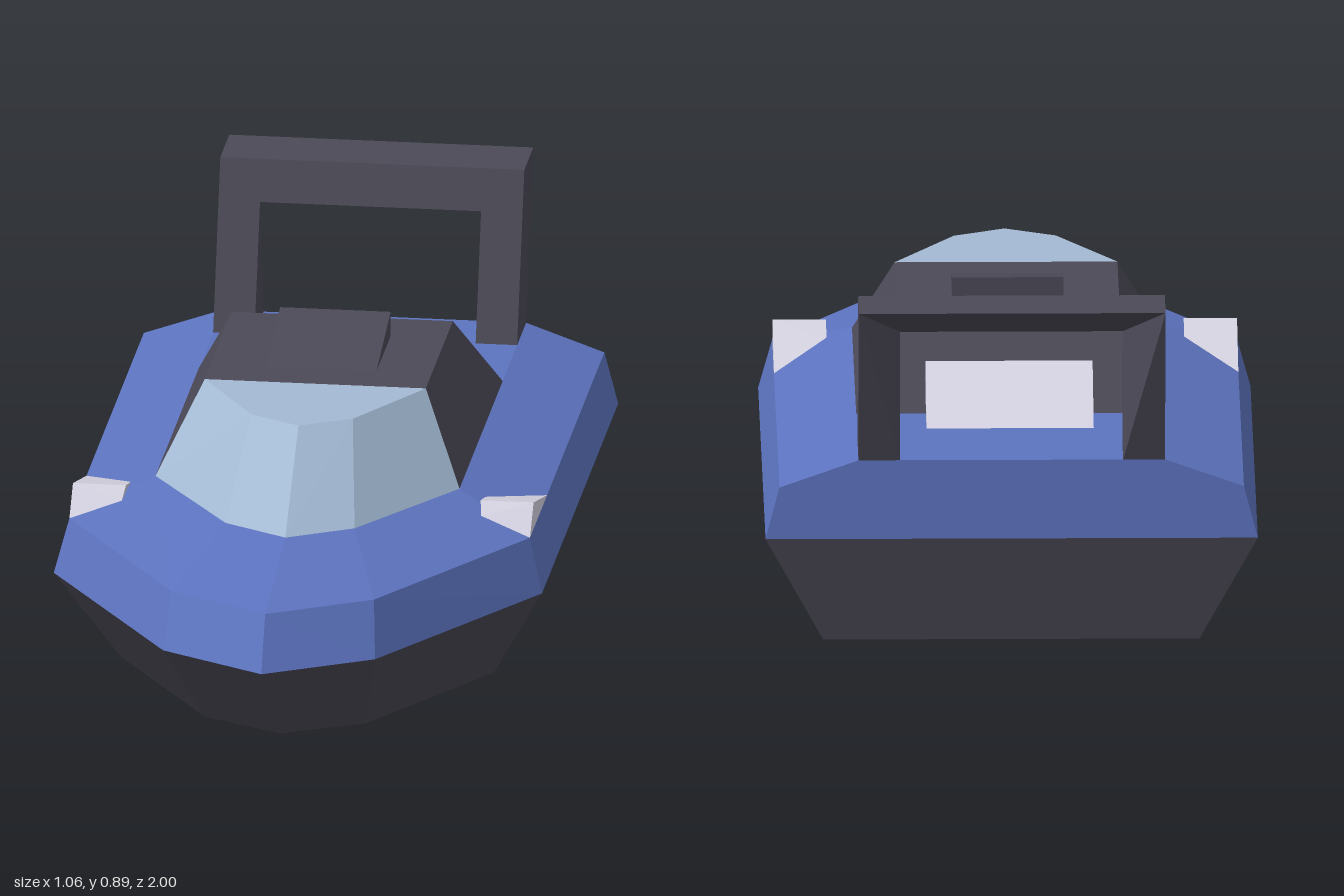
import * as THREE from 'three';
import { ConvexGeometry } from 'three/addons/geometries/ConvexGeometry.js';

const mat = (name, color) => {
  const m = new THREE.MeshStandardMaterial({ color });
  m.name = name;
  return m;
};

// Full plan outline at height y from [x, z] points of the left half, stern to bow
function outline(y, half) {
  const left = half.map(([x, z]) => [x, y, z]);
  const right = half.slice(0, -1).reverse().map(([x, z]) => [-x, y, z]);
  return [...left, ...right];
}

// Flat-faced skin over stacked outlines, optionally capped
function loft(rings, capBottom, capTop) {
  const pos = [];
  const face = (pts) => {
    for (let i = 1; i < pts.length - 1; i++) pos.push(...pts[0], ...pts[i], ...pts[i + 1]);
  };
  for (let r = 0; r < rings.length - 1; r++) {
    const lo = rings[r], hi = rings[r + 1], n = lo.length;
    for (let i = 0; i < n; i++) {
      const j = (i + 1) % n;
      face([lo[i], hi[i], hi[j], lo[j]]);
    }
  }
  if (capBottom) face(rings[0]);
  if (capTop) face([...rings[rings.length - 1]].reverse());
  const g = new THREE.BufferGeometry();
  g.setAttribute('position', new THREE.Float32BufferAttribute(pos, 3));
  g.computeVertexNormals();
  return g;
}

const flip = (pts) => pts.map(([x, y, z]) => [-x, y, z]);
const solid = (pts) => new ConvexGeometry(pts.map((p) => new THREE.Vector3(...p)));
const solidBothSides = (pts) => solid([...pts, ...flip(pts)]);

export function createModel() {
  const dark = mat('charcoal', 0x4b4956);
  const blue = mat('blue', 0x5c73bf);
  const glass = mat('pale blue glass', 0xa3bad3);
  const light = mat('light grey', 0xd4d2e0);

  const boat = new THREE.Group();
  boat.name = 'boat';
  const add = (name, geometry, material) => {
    const m = new THREE.Mesh(geometry, material);
    m.name = name;
    boat.add(m);
  };

  // Hull and deck share the widest outline
  const waist = outline(0.36, [[0.53, -0.88], [0.53, 0.39], [0.23, 0.87], [0, 1]]);
  add('lowerHull', loft([
    outline(0, [[0.24, -0.06], [0.24, -0.04], [0.1, 0.18], [0, 0.23]]),
    outline(0.12, [[0.405, -0.82], [0.405, 0.23], [0.175, 0.6], [0, 0.69]]),
    waist,
  ], true, false), dark);
  add('upperHullAndDeck', loft([
    waist,
    outline(0.475, [[0.5, -0.88], [0.5, 0.36], [0.22, 0.81], [0, 0.935]]),
    outline(0.535, [[0.33, -0.88], [0.33, 0.23], [0.14, 0.52], [0, 0.6]]),
  ], false, true), blue);

  // Cabin with the windscreen in front of it
  add('cabin', solidBothSides([
    [0.33, 0.535, -0.49], [0.33, 0.535, 0.23],
    [0.24, 0.715, -0.35], [0.24, 0.715, 0.1],
  ]), dark);
  add('windscreen', solidBothSides([
    [0.33, 0.535, 0.23], [0.14, 0.535, 0.52], [0, 0.535, 0.6],
    [0.24, 0.715, 0.1], [0.11, 0.715, 0.32], [0, 0.715, 0.38],
  ]), glass);

  // Wedges on the roof and behind the cabin
  add('roofScoop', solidBothSides([
    [0.12, 0.715, 0.005], [0.12, 0.715, -0.235], [0.12, 0.77, -0.235],
  ]), dark);
  add('rearRamp', solidBothSides([
    [0.18, 0.535, -0.615], [0.18, 0.535, -0.48], [0.18, 0.632, -0.415],
  ]), light);

  // Bow lamps and roll bar legs, one per side
  const lamp = [
    [0.385, 0.535, 0.3], [0.5, 0.535, 0.3],
    [0.5, 0.475, 0.36], [0.39, 0.51, 0.33],
    [0.5, 0.475, 0.075], [0.385, 0.513, 0.21],
  ];
  const barEnd = [[0.24, 0.805, -0.82], [0.33, 0.893, -0.85], [0.33, 0.893, -1]];
  const leg = [
    ...barEnd,
    [0.33, 0.535, -0.88], [0.24, 0.535, -0.88],
    [0.24, 0.535, -0.73], [0.33, 0.535, -0.73],
  ];
  for (const [side, place] of [['left', (p) => p], ['right', flip]]) {
    add(side + 'BowLamp', solid(place(lamp)), light);
    add(side + 'RollBarLeg', solid(place(leg)), dark);
  }
  add('rollBarCrossbar', solidBothSides(barEnd), dark);

  return boat;
}
